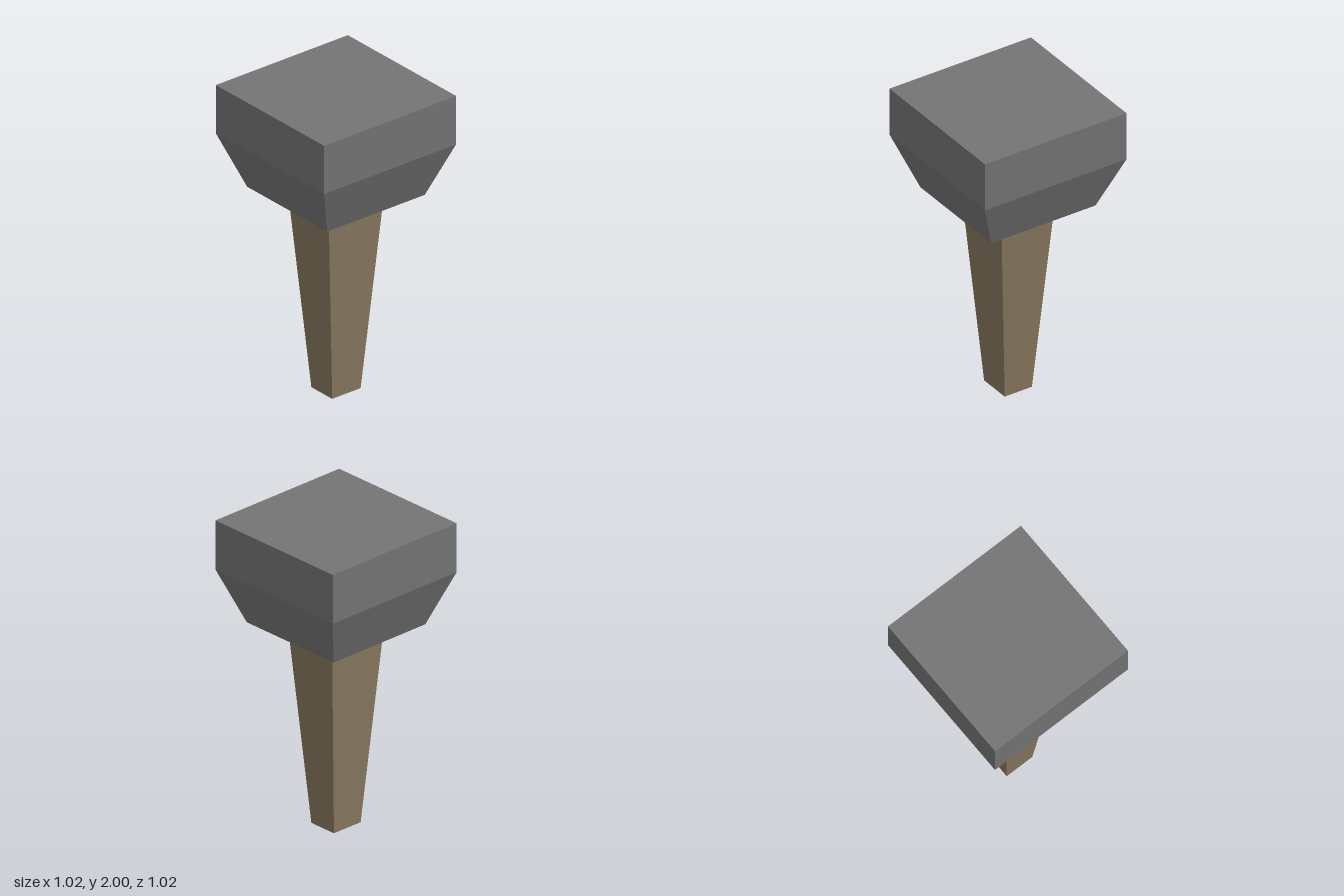
import * as THREE from 'three';

// Square-section solid: a box whose vertex rows are moved to rings [y, halfX, halfZ], bottom to top
function ringedBox(name, rings, material) {
  const rows = rings.length - 1;
  const geometry = new THREE.BoxGeometry(2, rows, 2, 1, rows, 1);
  const position = geometry.attributes.position;
  for (let i = 0; i < position.count; i++) {
    const [y, halfX, halfZ] = rings[Math.round(position.getY(i) + rows / 2)];
    position.setXYZ(i, position.getX(i) * halfX, y, position.getZ(i) * halfZ);
  }
  // Separate corners give every face its own flat normal
  const flat = geometry.toNonIndexed();
  flat.computeVertexNormals();
  const mesh = new THREE.Mesh(flat, material);
  mesh.name = name;
  return mesh;
}

export function createModel() {
  const wood = new THREE.MeshStandardMaterial({ color: 0x887860 });
  wood.name = 'wood';
  const stone = new THREE.MeshStandardMaterial({ color: 0x747474 });
  stone.name = 'stone';

  const model = new THREE.Group();
  model.name = 'mallet';

  // Handle, narrowing towards the ground
  model.add(ringedBox('handle', [[0, 0.11, 0.098], [1.325, 0.215, 0.193]], wood));

  // Heavy head with a sloped lower half
  model.add(ringedBox('head', [[1.325, 0.377, 0.377], [1.675, 0.51, 0.51], [2, 0.51, 0.51]], stone));

  return model;
}
